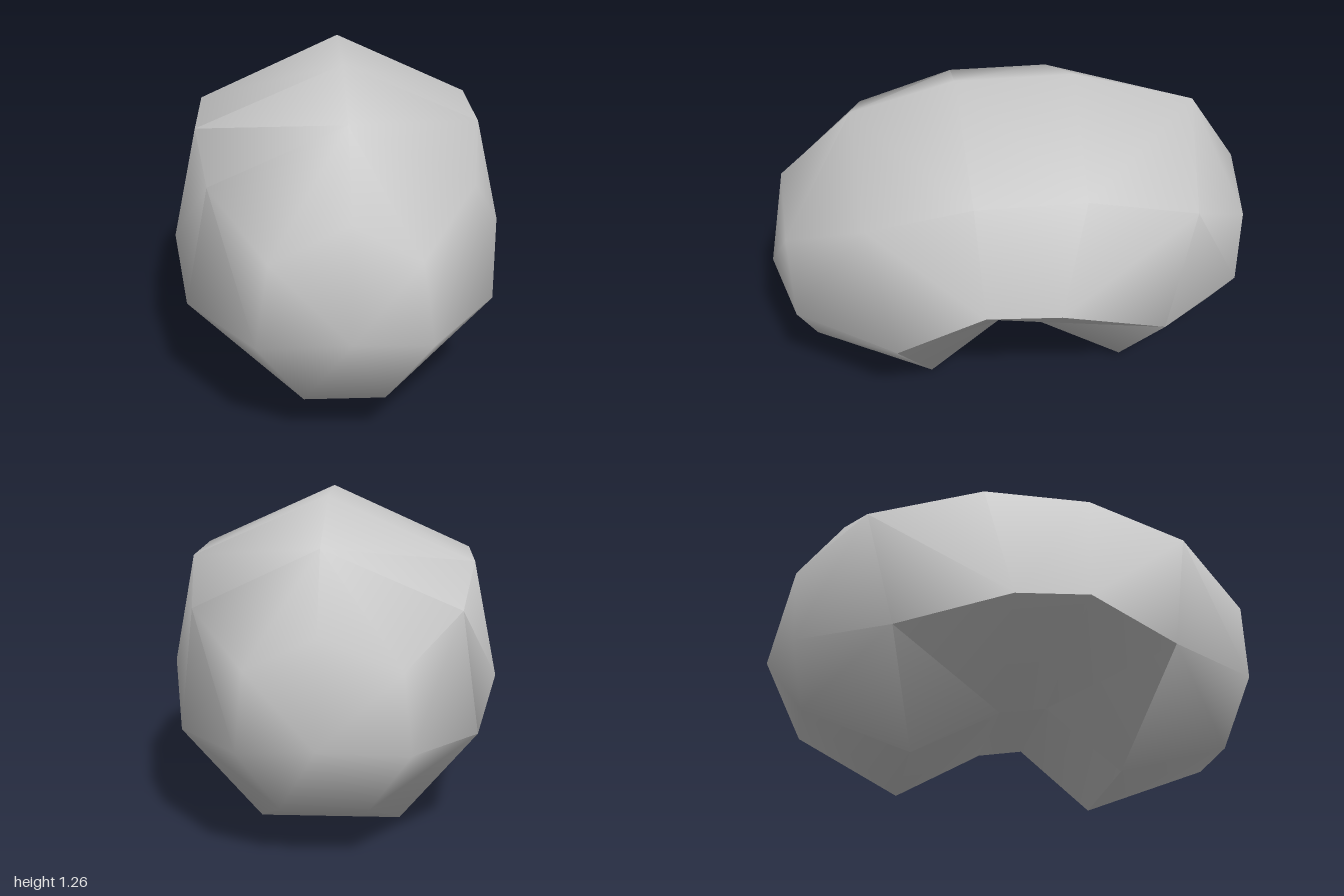
import * as THREE from 'three';
import { toCreasedNormals } from 'three/addons/utils/BufferGeometryUtils.js';

// Seven-sided cross-sections from front to back.
// Each lists the top [y, z], then the shoulder, flank and belly points [x, y, z].
const SECTIONS = [
  { top: [0.89, 0.92], shoulder: [0.27, 0.74, 0.91], flank: [0.32, 0.41, 0.90], belly: [0.15, 0.165, 0.84] },
  { top: [1.15, 0.63], shoulder: [0.49, 0.91, 0.60], flank: [0.59, 0.40, 0.51], belly: [0.26, 0.00, 0.37] },
  { top: [1.26, 0.22], shoulder: [0.555, 1.02, 0.20], flank: [0.655, 0.59, 0.17], belly: [0.25, 0.24, 0.08] },
  { top: [1.26, -0.25], shoulder: [0.555, 1.02, -0.22], flank: [0.655, 0.57, -0.12], belly: [0.25, 0.21, -0.10] },
  { top: [1.12, -0.73], shoulder: [0.49, 0.89, -0.66], flank: [0.56, 0.40, -0.55], belly: [0.27, 0.02, -0.44] },
  { top: [0.84, -0.92], shoulder: [0.28, 0.72, -0.91], flank: [0.31, 0.42, -0.90], belly: [0.16, 0.20, -0.85] },
];
const SIDES = 7;

function bodyGeometry() {
  const positions = [];
  const index = [];
  const mirror = ([x, y, z], drop = 0) => [-x, y - drop, z];

  // Rings, clockwise from the top; the right side sags slightly in the middle
  SECTIONS.forEach(({ top, shoulder, flank, belly }, k) => {
    const sag = k === 2 || k === 3 ? 0.05 : 0;
    const ring = [[0.02, ...top], shoulder, flank, belly,
      mirror(belly), mirror(flank, sag), mirror(shoulder, sag / 3)];
    positions.push(...ring.flat());
  });

  // Skin between neighbouring rings; the diagonals follow the underside notch
  for (let k = 0; k < SECTIONS.length - 1; k++) {
    for (let i = 0; i < SIDES; i++) {
      const j = (i + 1) % SIDES;
      const a = k * SIDES + i, b = k * SIDES + j;
      const c = b + SIDES, d = a + SIDES;
      if ((k % 3 === 0) === (i < 4)) index.push(a, b, d, b, c, d);
      else index.push(a, b, c, a, c, d);
    }
  }

  // Pointed ends
  const front = SECTIONS.length * SIDES, back = front + 1;
  const last = front - SIDES;
  positions.push(0.02, 0.47, 1, 0.02, 0.46, -1);
  for (let i = 0; i < SIDES; i++) {
    const j = (i + 1) % SIDES;
    index.push(front, j, i, back, last + i, last + j);
  }

  const geometry = new THREE.BufferGeometry();
  geometry.setAttribute('position', new THREE.Float32BufferAttribute(positions, 3));
  geometry.setIndex(index);
  return toCreasedNormals(geometry, 0.95);
}

export function createModel() {
  const group = new THREE.Group();
  group.name = 'bean';
  const body = new THREE.Mesh(bodyGeometry(), new THREE.MeshStandardMaterial({ color: 0xcccccc }));
  body.name = 'beanBody';
  group.add(body);
  return group;
}
